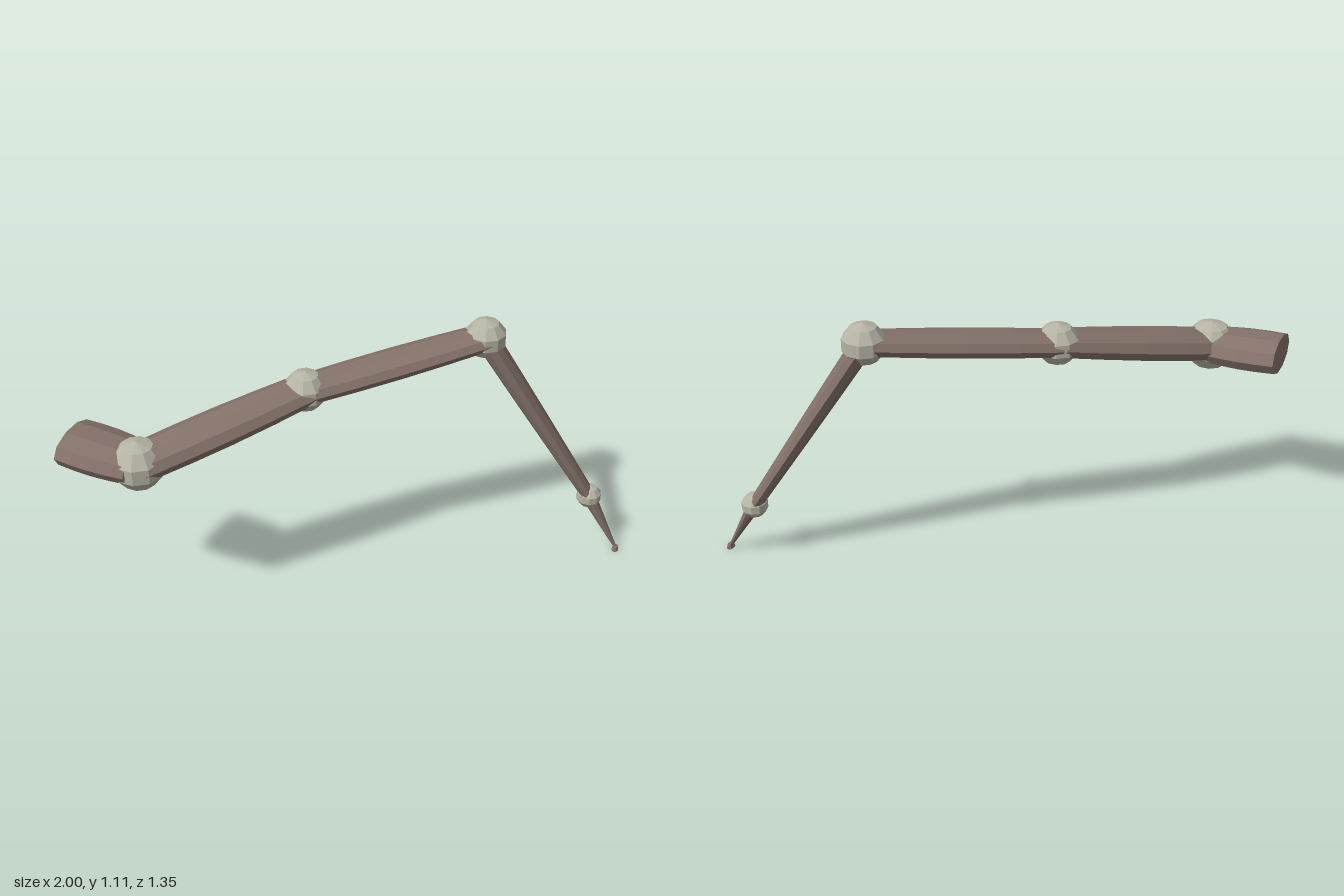
import * as THREE from 'three';

const SIDES = 10;
const V = (x, y, z) => new THREE.Vector3(x, y, z);

// Ten-sided limb with an elliptical section, wide horizontally and swelling mid-length
function limbGeometry(from, to, w0, h0, w1, h1, swell, rings = 4) {
  const dir = to.clone().sub(from).normalize();
  const side = V(0, 1, 0).cross(dir).normalize();
  const up = dir.clone().cross(side);
  const pos = [], index = [];
  for (let r = 0; r <= rings; r++) {
    const t = r / rings;
    const grow = 1 + swell * Math.sin(Math.PI * t);
    const w = THREE.MathUtils.lerp(w0, w1, t) * grow;
    const h = THREE.MathUtils.lerp(h0, h1, t) * grow;
    const c = from.clone().lerp(to, t);
    for (let i = 0; i < SIDES; i++) {
      const a = (i / SIDES) * Math.PI * 2;
      const p = c.clone().addScaledVector(side, w * Math.cos(a)).addScaledVector(up, h * Math.sin(a));
      pos.push(p.x, p.y, p.z);
    }
  }
  for (let r = 0; r < rings; r++) {
    for (let i = 0; i < SIDES; i++) {
      const j = (i + 1) % SIDES;
      const a = r * SIDES + i, b = r * SIDES + j;
      index.push(a, b, b + SIDES, a, b + SIDES, a + SIDES);
    }
  }
  // flat end caps
  const last = rings * SIDES;
  for (let i = 1; i < SIDES - 1; i++) {
    index.push(0, i + 1, i, last, last + i, last + i + 1);
  }
  const g = new THREE.BufferGeometry();
  g.setAttribute('position', new THREE.Float32BufferAttribute(pos, 3));
  g.setIndex(index);
  const flat = g.toNonIndexed();
  flat.computeVertexNormals();
  return flat;
}

export function createModel() {
  const group = new THREE.Group();
  group.name = 'segmentedLeg';
  const shell = new THREE.MeshStandardMaterial({ color: 0x84726a, flatShading: true });
  shell.name = 'brownShell';
  const pale = new THREE.MeshStandardMaterial({ color: 0xb6b4a4, flatShading: true });
  pale.name = 'paleJoint';

  const add = (name, geometry, material) => {
    const mesh = new THREE.Mesh(geometry, material);
    mesh.name = name;
    group.add(mesh);
    return mesh;
  };

  const root = V(-1, 0.79, 0.54);
  const hip = V(-0.7, 0.772, 0.545);
  const thigh = V(-0.225, 0.92, 0.015);
  const knee = V(0.36, 1.028, -0.485);
  const ankle = V(0.835, 0.257, -0.628);
  const tip = V(0.98, 0.012, -0.63);

  // limb segments: start, end, half width and half height at each end, swelling
  const limbs = [
    ['baseSegment', root, hip, 0.13, 0.074, 0.115, 0.068, 0.08],
    ['innerSegment', hip, thigh, 0.105, 0.064, 0.09, 0.055, 0.1],
    ['upperSegment', thigh, knee, 0.088, 0.05, 0.082, 0.045, 0.1],
    ['lowerSegment', knee, ankle, 0.08, 0.046, 0.046, 0.028, 0.04],
    ['clawSegment', ankle, tip, 0.046, 0.028, 0.008, 0.006, 0],
  ];
  for (const [name, ...args] of limbs) add(name, limbGeometry(...args), shell);

  // ball joints
  const joints = [
    ['hipJoint', hip, 0.105],
    ['thighJoint', thigh, 0.087],
    ['kneeJoint', knee, 0.085],
    ['ankleJoint', ankle, 0.053],
  ];
  for (const [name, at, r] of joints) {
    const ball = add(name, new THREE.SphereGeometry(r, SIDES, 5), pale);
    ball.scale.set(1.06, 1, 1.06);
    ball.position.copy(at);
  }

  // small foot pad at the tip
  const foot = add('footPad', new THREE.CylinderGeometry(0.017, 0.023, 0.017, 8), shell);
  foot.scale.x = 0.65;
  foot.position.set(0.984, 0.0085, -0.625);
  return group;
}
